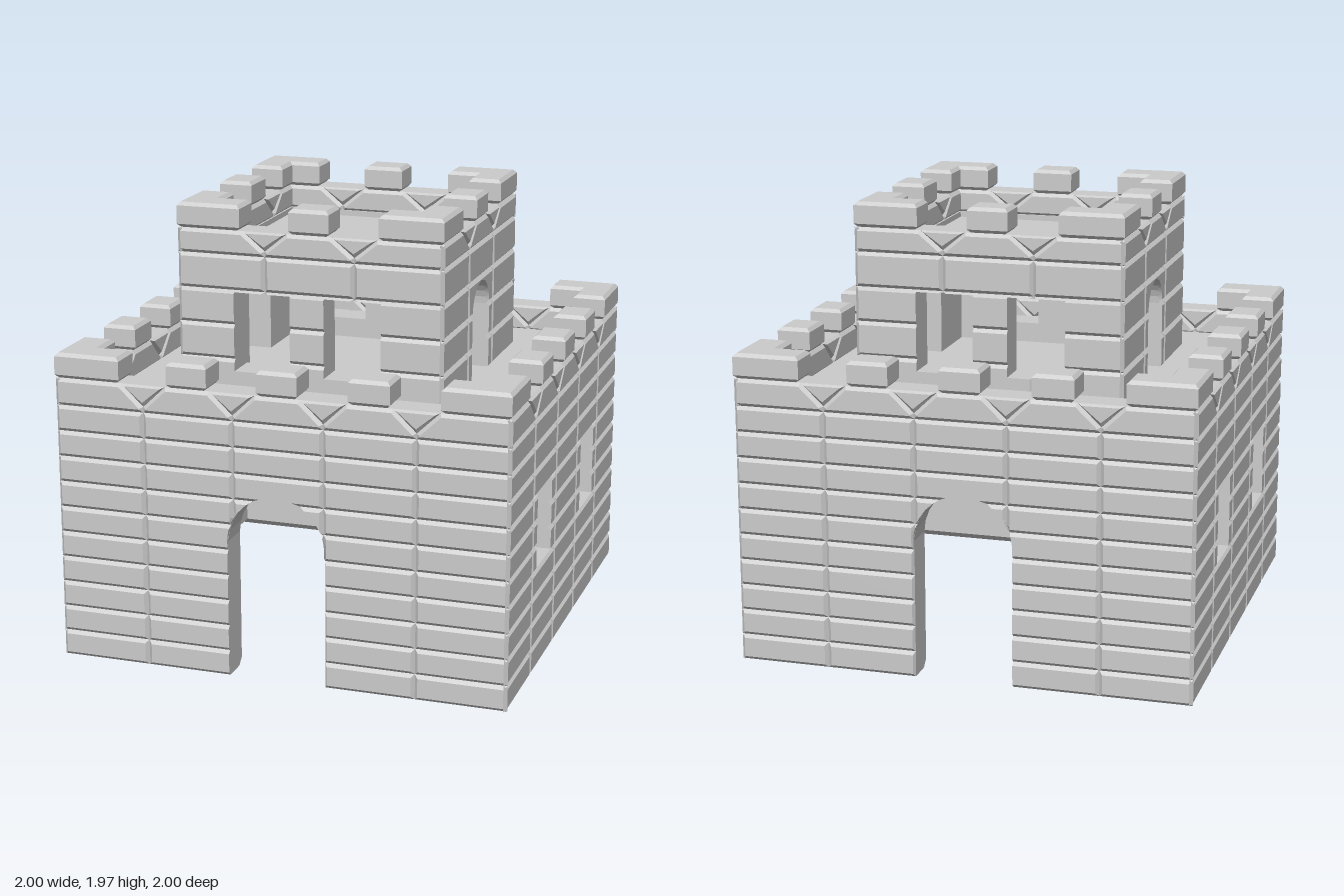
import * as THREE from 'three';
import { mergeGeometries } from 'three/addons/utils/BufferGeometryUtils.js';

const B = 0.015; // bevel and groove depth
const T = 0.15;  // wall thickness
const material = new THREE.MeshStandardMaterial({ color: 0xcccccc, flatShading: true });

function add(parent, name, geometry) {
  const mesh = new THREE.Mesh(geometry, material);
  mesh.name = name;
  parent.add(mesh);
  return mesh;
}

const toShape = (pts) => new THREE.Shape(pts.map(([x, y]) => new THREE.Vector2(x, y)));
const extrude = (shape, depth) => new THREE.ExtrudeGeometry(shape, { depth, bevelEnabled: false });

// Slab with chamfered rims, its widest outline from z = 0 to z = depth
function slab(pts, depth = 0.001) {
  return new THREE.ExtrudeGeometry(toShape(pts), {
    depth, bevelEnabled: true, bevelSegments: 1, bevelSize: B, bevelThickness: B, bevelOffset: -B,
  });
}

// Half width of an opening at height y; arch is true for a round top
function halfAt(o, y) {
  const up = y - (o.top - o.half);
  return o.arch && up > 0 ? Math.sqrt(Math.max(0, o.half ** 2 - up ** 2)) : o.half;
}

function openingOutline(o, floor) {
  const pts = [[o.c - o.half, floor]];
  if (o.arch) {
    for (let i = 0; i <= 14; i++) {
      const a = Math.PI * (1 - i / 14);
      pts.push([o.c + o.half * Math.cos(a), o.top - o.half + o.half * Math.sin(a)]);
    }
  } else pts.push([o.c - o.half, o.top], [o.c + o.half, o.top]);
  pts.push([o.c + o.half, floor]);
  return pts;
}

// Plain wall behind the bricks, with a foot chamfered on the inside; doors cut into its outline
function wallCore(w, y0, y1, foot, openings) {
  const doors = openings.filter((o) => o.bottom <= y0);
  const base = y0 + foot;
  const pts = [[-w, y1], [-w, base], ...doors.flatMap((o) => openingOutline(o, base)), [w, base], [w, y1]];
  const shape = toShape(pts);
  for (const o of openings) if (o.bottom > y0) shape.holes.push(toShape(openingOutline(o, o.bottom)));
  const parts = [extrude(shape, T - B)];
  const ends = [-w, ...doors.flatMap((o) => [o.c - o.half, o.c + o.half]), w];
  for (let i = 0; i < ends.length && foot > 0; i += 2) {
    const profile = toShape([[-(T - B), y0], [-foot, y0], [0, base], [-(T - B), base]]);
    parts.push(extrude(profile, ends[i + 1] - ends[i]).rotateY(Math.PI / 2).translate(ends[i], 0, 0));
  }
  return mergeGeometries(parts);
}

// Loft from a brick's base outline to its inset face; l and r give the sides at height y and inset t
function brickLoft(l, r, yAt, n) {
  const level = (t) => Array.from({ length: n + 1 }, (_, k) => {
    const y = yAt(k / n, t);
    return { left: [l(y, t), y, t], right: [r(y, t), y, t] };
  });
  const loop = (rows) => [...rows.map((p) => p.right), ...rows.map((p) => p.left).reverse()];
  const face = level(B);
  const [low, high] = [loop(level(0)), loop(face)];
  const pos = [];
  const quad = (a, b, c, d) => pos.push(...a, ...b, ...c, ...a, ...c, ...d);
  low.forEach((p, i) => {
    const j = (i + 1) % low.length;
    quad(p, low[j], high[j], high[i]);
  });
  for (let i = 0; i < n; i++) quad(face[i].right, face[i + 1].right, face[i + 1].left, face[i].left);
  const g = new THREE.BufferGeometry();
  g.setAttribute('position', new THREE.Float32BufferAttribute(pos, 3));
  g.computeVertexNormals();
  return g;
}

// Bricks of one cell, bevelled at their joints and cut off square at the openings
function brickPieces(x0, x1, y0, y1, openings) {
  const hits = openings.filter((o) => o.c + o.half > x0 && o.c - o.half < x1 && o.top > y0 && o.bottom < y1);
  const inside = hits.flatMap((o) => [o.bottom, o.top]).filter((y) => y > y0 + 0.001 && y < y1 - 0.001);
  const cuts = [...new Set([y0, y1, ...inside])].sort((a, b) => a - b);
  const result = [];
  for (let i = 0; i + 1 < cuts.length; i++) {
    const [lo, hi] = [cuts[i], cuts[i + 1]];
    const mid = (lo + hi) / 2;
    const through = hits.filter((o) => mid > o.bottom && mid < o.top);
    let pieces = [{ l: (y, t) => x0 + t, r: (y, t) => x1 - t }];
    for (const o of through) {
      const west = (y) => o.c - halfAt(o, y);
      const east = (y) => o.c + halfAt(o, y);
      pieces = pieces.flatMap(({ l, r }) => [
        { l: (y, t) => Math.min(l(y, t), west(y)), r: (y, t) => Math.min(r(y, t), west(y)) },
        { l: (y, t) => Math.max(l(y, t), east(y)), r: (y, t) => Math.max(r(y, t), east(y)) },
      ]);
    }
    const yAt = (f, t) => {
      const a = Math.min(hi, Math.max(lo, y0 + t));
      const b = Math.max(lo, Math.min(hi, y1 - t));
      return a + (b - a) * f;
    };
    const n = through.some((o) => o.arch && hi > o.top - o.half) ? 8 : 1;
    for (const { l, r } of pieces) {
      if (Math.max(r(lo, 0) - l(lo, 0), r(hi, 0) - l(hi, 0)) > 0.003) result.push(brickLoft(l, r, yAt, n));
    }
  }
  return result;
}

// Top course: stones with cut shoulders, and a wedge in the V at each joint
function parapetStones(joints, y0, y1) {
  const v = y0 + 0.025;
  const last = joints.length - 2;
  const stones = joints.slice(0, -1).map((x0, i) => {
    const x1 = joints[i + 1];
    const pts = [[x0, y0], [x1, y0]];
    if (i < last) pts.push([x1, v], [x1 - 0.1, y1]); else pts.push([x1, y1]);
    if (i > 0) pts.push([x0 + 0.1, y1], [x0, v]); else pts.push([x0, y1]);
    return slab(pts);
  });
  const wedges = joints.slice(1, -1).map((x) => slab([[x, v], [x + 0.1, y1], [x - 0.1, y1]]));
  return mergeGeometries([...stones, ...wedges]);
}

// One square storey with brick walls, openings, parapet and merlons
function storey(name, s) {
  const group = new THREE.Group();
  group.name = name;
  const { w, y0, y1, top, rows, joints } = s;
  const inner = w - T;
  const pitch = (y1 - y0) / rows;

  ['front', 'left', 'back', 'right'].forEach((side, k) => {
    const wall = new THREE.Group();
    wall.name = side + 'Wall';
    wall.rotation.y = (k * Math.PI) / 2;
    group.add(wall);
    const source = k % 2 ? s.sideOpenings : s.frontOpenings;
    const openings = source.map((o) => (k === 2 ? { ...o, c: -o.c } : o));
    add(wall, 'wallCore', wallCore(w - B, y0, y1 + 0.005, s.foot, openings)).position.z = inner;

    // Stacked courses without stagger
    const bricks = [];
    for (let r = 0; r < rows; r++) {
      for (let j = 0; j + 1 < joints.length; j++) {
        bricks.push(...brickPieces(joints[j], joints[j + 1], y0 + r * pitch, y0 + (r + 1) * pitch, openings));
      }
    }
    add(wall, 'bricks', mergeGeometries(bricks)).position.z = w - B;
    add(wall, 'parapetStones', parapetStones(joints, y1, top)).position.z = w - B;

    // Inner face of the parapet
    const innerJoints = joints.map((x) => Math.max(-inner - B, Math.min(inner + B, x)));
    const lining = add(wall, 'parapetLining', parapetStones(innerJoints, y1, top));
    lining.rotation.y = Math.PI;
    lining.position.z = inner + B;

    // Small merlons between the corners
    const merlon = (label, pts) => add(wall, label, slab(pts, 0.08).rotateX(Math.PI / 2).translate(0, top + 0.095, 0));
    for (const x of s.merlons) {
      merlon('merlon', [[x - 0.09, inner], [x + 0.09, inner], [x + 0.09, w], [x - 0.09, w]]);
    }

    // L-shaped corner merlon
    const e = s.cornerEnd;
    merlon('cornerMerlon', [[e, inner], [inner, inner], [inner, e], [w, e], [w, w], [e, w]]);
  });

  // Ring behind the parapet stones
  const square = (h) => toShape([[-h, -h], [h, -h], [h, h], [-h, h]]);
  const ring = square(w - B);
  ring.holes.push(square(inner + B));
  add(group, 'parapetCore', extrude(ring, top - y1).rotateX(Math.PI / 2).translate(0, top, 0));

  // Deck, with the ceiling of the room as its underside
  const size = 2 * (inner + B);
  const deck = add(group, 'deck', new THREE.BoxGeometry(size, s.deck - s.ceiling, size));
  deck.position.y = (s.deck + s.ceiling) / 2;
  return group;
}

export function createModel() {
  const model = new THREE.Group();
  model.name = 'castle';
  const windowAt = (c, half, bottom, top) => ({ c, half, bottom, top });

  model.add(storey('lowerStorey', {
    w: 1, y0: 0, y1: 1.14, top: 1.26, rows: 10, ceiling: 0.88, deck: 1.15, foot: 0.03,
    joints: [-1, -0.6, -0.2, 0.2, 0.6, 1],
    merlons: [-0.4, 0, 0.4], cornerEnd: 0.705,
    frontOpenings: [{ c: -0.01, half: 0.216, bottom: 0, top: 0.825, arch: true }],
    sideOpenings: [windowAt(-0.405, 0.128, 0.47, 0.8), windowAt(0.405, 0.128, 0.47, 0.8)],
  }));

  model.add(storey('tower', {
    w: 0.595, y0: 1.14, y1: 1.75, top: 1.857, rows: 4, ceiling: 1.61, deck: 1.73, foot: 0,
    joints: [-0.595, -0.2, 0.2, 0.595],
    merlons: [0], cornerEnd: 0.31,
    frontOpenings: [windowAt(-0.213, 0.127, 1.24, 1.59), windowAt(0.193, 0.127, 1.24, 1.59)],
    sideOpenings: [{ c: 0, half: 0.138, bottom: 1.14, top: 1.58, arch: true }],
  }));
  return model;
}
